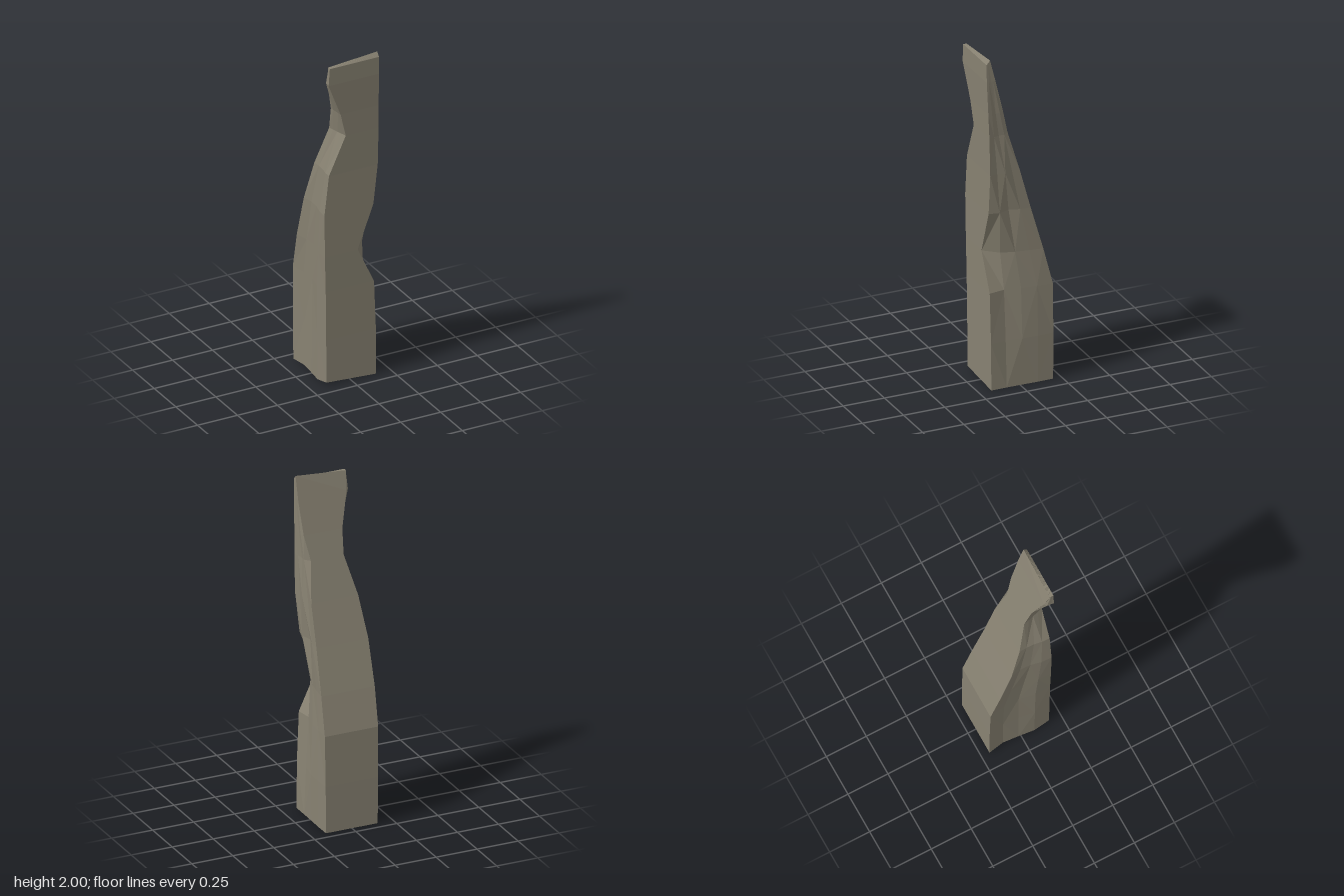
import * as THREE from 'three';

// Each level: height, front z, back z
const levels = [
  [0, 0.175, -0.2], [0.28, 0.176, -0.2], [0.58, 0.178, -0.196], [0.8, 0.18, -0.14], [1.06, 0.182, -0.066],
  [1.3, 0.184, 0.0], [1.53, 0.19, 0.062], [1.67, 0.195, 0.1], [1.87, 0.204, 0.151], [1.975, 0.205, 0.184],
];
// Half widths of the chipped +x side, from front edge to back edge
const right = [
  [0.158, 0.157, 0.158, 0.16, 0.158],
  [0.156, 0.145, 0.16, 0.163, 0.16],
  [0.143, 0.128, 0.15, 0.158, 0.163],
  [0.04, 0.11, 0.135, 0.148, 0.158],
  [0.137, 0.15, 0.13, 0.15, 0.152],
  [0.163, 0.155, 0.162, 0.15, 0.152],
  [0.165, 0.158, 0.15, 0.152, 0.125],
  [0.162, 0.16, 0.155, 0.158, 0.15],
  [0.161, 0.161, 0.16, 0.16, 0.16],
  [0.16, 0.16, 0.16, 0.16, 0.16],
];
// Half widths of the worn -x side, from front edge to back edge
const left = [
  [0.152, 0.158, 0.148, 0.14, 0.157],
  [0.155, 0.16, 0.143, 0.138, 0.159],
  [0.159, 0.163, 0.142, 0.146, 0.162],
  [0.165, 0.165, 0.146, 0.15, 0.168],
  [0.169, 0.166, 0.152, 0.15, 0.164],
  [0.142, 0.14, 0.132, 0.13, 0.134],
  [0.04, 0.05, 0.058, 0.068, 0.075],
  [0.075, 0.078, 0.08, 0.083, 0.085],
  [0.155, 0.153, 0.152, 0.15, 0.135],
  [0.148, 0.148, 0.148, 0.148, 0.148],
];

function createShardGeometry() {
  const positions = [], indices = [], n = 5, ring = n * 2;
  levels.forEach(([y, front, back], i) => {
    for (let k = 0; k < ring; k++) {
      const onRight = k < n, j = onRight ? k : ring - 1 - k;
      const t = j / (n - 1);
      const x = onRight ? right[i][j] : -left[i][j];
      // The tip rises towards its back right corner, the base lifts at front left
      let lift = 0;
      if (i === levels.length - 1) lift = onRight ? 0.025 * t : 0;
      if (i === 0 && !onRight && j === 0) lift = 0.02;
      positions.push(x, y + lift, front + (back - front) * t);
    }
  });
  // Sides
  for (let i = 0; i < levels.length - 1; i++) {
    for (let k = 0; k < ring; k++) {
      const a = i * ring + k, b = i * ring + (k + 1) % ring, c = b + ring, d = a + ring;
      if ((i + k) % 2) indices.push(a, b, c, a, c, d);
      else indices.push(a, b, d, b, c, d);
    }
  }
  // Tip and base, bridged from side to side
  const top = (levels.length - 1) * ring;
  for (let j = 0; j < n - 1; j++) {
    const a = j, b = j + 1, c = ring - 2 - j, d = ring - 1 - j;
    indices.push(top + a, top + b, top + c, top + a, top + c, top + d);
    indices.push(a, c, b, a, d, c);
  }
  const indexed = new THREE.BufferGeometry();
  indexed.setAttribute('position', new THREE.Float32BufferAttribute(positions, 3));
  indexed.setIndex(indices);
  const geometry = indexed.toNonIndexed();
  geometry.computeVertexNormals();
  return geometry;
}

export function createModel() {
  const group = new THREE.Group();
  group.name = 'brokenPost';
  const stone = new THREE.MeshStandardMaterial({ color: 0x888272, flatShading: true });
  stone.name = 'weathered stone';
  const shard = new THREE.Mesh(createShardGeometry(), stone);
  shard.name = 'postShard';
  group.add(shard);
  return group;
}
